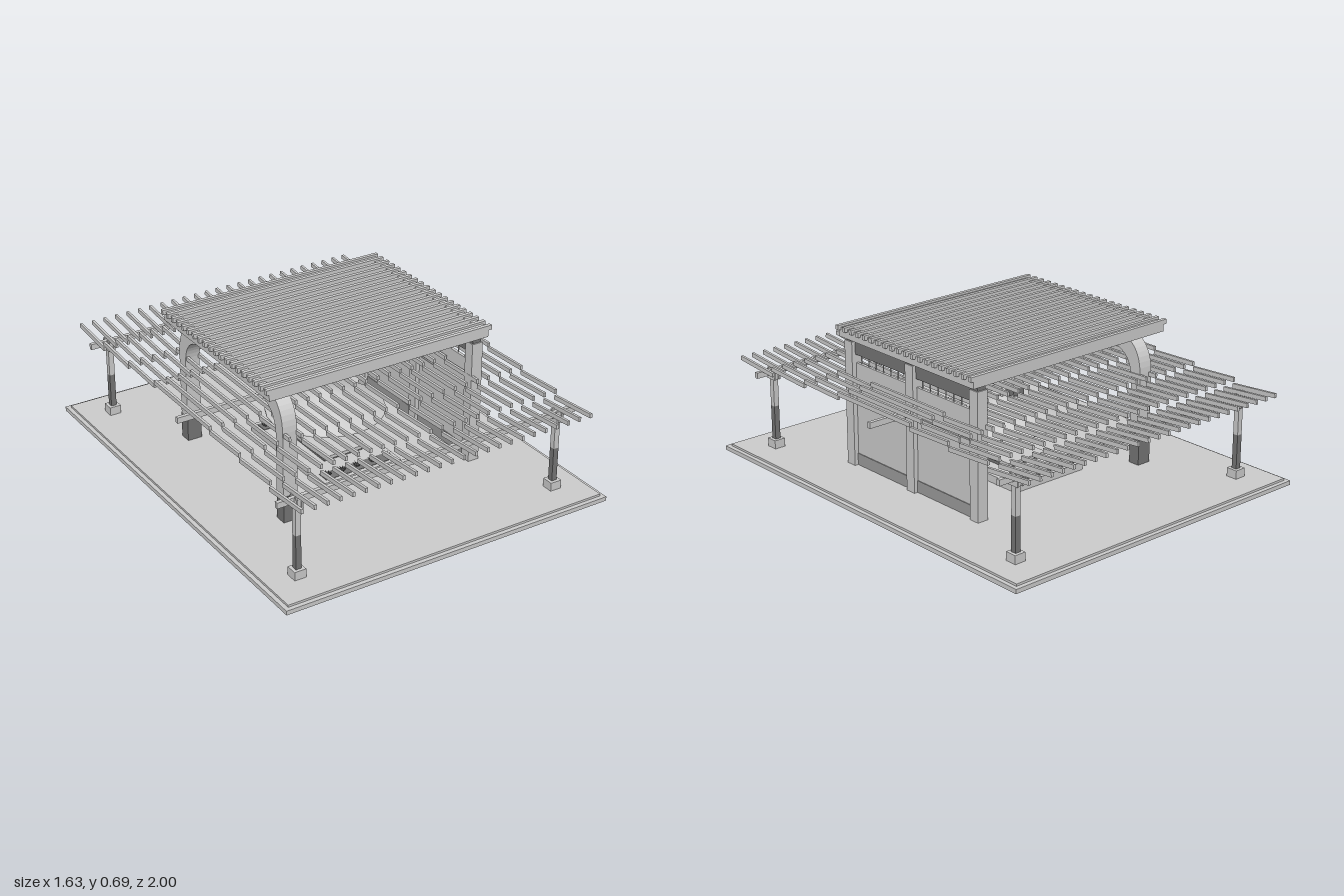
import * as THREE from 'three';

const light = new THREE.MeshStandardMaterial({ color: 0xcccccc });
light.name = 'light gray';
const middle = new THREE.MeshStandardMaterial({ color: 0x9c9c9c });
middle.name = 'middle gray';
const dark = new THREE.MeshStandardMaterial({ color: 0x757575 });
dark.name = 'dark gray';
const canopyGray = new THREE.MeshStandardMaterial({ color: 0xcccccc, side: THREE.DoubleSide });
canopyGray.name = 'canopy gray';

function add(parent, name, geometry, material, x = 0, y = 0, z = 0) {
  const mesh = new THREE.Mesh(geometry, material);
  mesh.name = name;
  mesh.position.set(x, y, z);
  parent.add(mesh);
  return mesh;
}

// Box given by its minimum and maximum on each axis
function box(parent, name, material, x0, x1, y0, y1, z0, z1) {
  return add(parent, name, new THREE.BoxGeometry(x1 - x0, y1 - y0, z1 - z0), material,
    (x0 + x1) / 2, (y0 + y1) / 2, (z0 + z1) / 2);
}

function group(parent, name) {
  const g = new THREE.Group();
  g.name = name;
  parent.add(g);
  return g;
}

function buildBase(root) {
  const base = group(root, 'base');
  // The slab's underside is dark (fourth face of the box)
  const slab = box(base, 'baseSlab', light, -0.815, 0.815, 0, 0.02, -1, 1);
  slab.material = [light, light, light, dark, light, light];
  box(base, 'floor', light, -0.795, 0.795, 0.02, 0.03, -0.98, 0.98);
}

function buildRoof(root) {
  const roof = group(root, 'pavilionRoof');
  for (const s of [-1, 1]) {
    add(roof, 'endBeam', new THREE.BoxGeometry(1.11, 0.045, 0.05), light, 0, 0.6575, s * 0.425);
    add(roof, 'sideBeam', new THREE.BoxGeometry(0.035, 0.045, 0.8), light, s * 0.5375, 0.6575, 0);
  }
  for (let i = 0; i < 20; i++) {
    add(roof, 'roofSlat', new THREE.BoxGeometry(1.14, 0.022, 0.018), light, 0, 0.679, -0.4446 + i * 0.0468);
  }
}

function buildWall(root) {
  const wall = group(root, 'panelWall');
  for (const z of [-0.42, 0, 0.42]) {
    box(wall, 'wallPillar', light, 0.475, 0.53, 0.03, 0.615, z - 0.026, z + 0.026);
    box(wall, 'pillarNeck', dark, 0.48, 0.525, 0.615, 0.636, z - 0.02, z + 0.02);
  }
  for (const z0 of [-0.394, 0.026]) {
    const z1 = z0 + 0.368;
    box(wall, 'wallPanel', light, 0.494, 0.508, 0.085, 0.515, z0, z1);
    box(wall, 'baseboard', middle, 0.49, 0.512, 0.03, 0.085, z0, z1);
    box(wall, 'header', dark, 0.492, 0.512, 0.555, 0.62, z0, z1);
    box(wall, 'middleRail', light, 0.49, 0.512, 0.376, 0.382, z0, z1);
    // Short pins joining panel and header
    for (let i = 0; i < 7; i++) {
      const z = z0 + 0.03 + i * 0.051;
      box(wall, 'ventPin', light, 0.499, 0.503, 0.515, 0.555, z - 0.002, z + 0.002);
    }
  }
}

function buildArch(root) {
  // Bent portal with rounded shoulders
  const s = new THREE.Shape();
  s.moveTo(0.445, 0.155);
  s.lineTo(0.445, 0.46);
  s.quadraticCurveTo(0.44, 0.635, 0.26, 0.637);
  s.lineTo(-0.26, 0.637);
  s.quadraticCurveTo(-0.44, 0.635, -0.445, 0.46);
  s.lineTo(-0.445, 0.155);
  s.lineTo(-0.39, 0.155);
  s.lineTo(-0.39, 0.43);
  s.quadraticCurveTo(-0.385, 0.565, -0.24, 0.57);
  s.lineTo(0.24, 0.57);
  s.quadraticCurveTo(0.385, 0.565, 0.39, 0.43);
  s.lineTo(0.39, 0.155);
  s.closePath();
  const geometry = new THREE.ExtrudeGeometry(s, { depth: 0.07, bevelEnabled: false, curveSegments: 12 });
  geometry.rotateY(-Math.PI / 2);
  const arch = group(root, 'archedSide');
  add(arch, 'arch', geometry, light, -0.42, 0, 0);
  for (const z of [-0.419, 0.419]) {
    box(arch, 'archFoot', dark, -0.49, -0.42, 0.03, 0.155, z - 0.0285, z + 0.0285);
  }
}

function buildPergola(root) {
  const pergola = group(root, 'pergola');
  for (const z of [-0.82, 0, 0.82]) {
    add(pergola, 'crossBeam', new THREE.BoxGeometry(1.5, 0.027, 0.018), light, 0, 0.397, z);
  }
  for (const x of [-0.655, 0.655]) {
    for (const z of [-0.82, 0.82]) {
      const post = group(pergola, 'pergolaPost');
      post.position.set(x, 0, z);
      add(post, 'postFoot', new THREE.BoxGeometry(0.055, 0.04, 0.055), light, 0, 0.05, 0);
      add(post, 'lowerPost', new THREE.BoxGeometry(0.026, 0.16, 0.026), dark, 0, 0.15, 0);
      add(post, 'upperPost', new THREE.BoxGeometry(0.026, 0.16, 0.026), light, 0, 0.31, 0);
      for (const s of [-1, 1]) {
        add(post, 'clampX', new THREE.BoxGeometry(0.034, 0.055, 0.008), light, 0, 0.388, s * 0.017);
        add(post, 'clampZ', new THREE.BoxGeometry(0.008, 0.045, 0.055), light, s * 0.013, 0.383, 0);
      }
    }
  }
  // Stepped slats: a flat middle, then three tilted lengths towards each end
  const slat = new THREE.BoxGeometry(0.012, 0.02, 0.243);
  const flatSlat = new THREE.BoxGeometry(0.012, 0.02, 0.49);
  const steps = [[0.365, 0.449, 0.03], [0.61, 0.438, 0.055], [0.85, 0.426, 0.08]];
  for (let i = 0; i < 25; i++) {
    const x = -0.72 + i * 0.06;
    add(pergola, 'middleSlat', flatSlat, light, x, 0.463, 0);
    for (const [z, y, tilt] of steps) {
      for (const s of [-1, 1]) {
        add(pergola, 'tiltedSlat', slat, light, x, y, s * z).rotation.x = -s * tilt;
      }
    }
  }
}

function buildCentre(root) {
  const centre = group(root, 'umbrellaTable');
  box(centre, 'plinth', light, -0.2, 0.2, 0.03, 0.065, -0.315, 0.315);
  box(centre, 'tableFoot', dark, -0.1, 0.1, 0.065, 0.083, -0.15, 0.15);
  box(centre, 'tableTop', light, -0.11, 0.11, 0.083, 0.098, -0.17, 0.17);
  add(centre, 'umbrellaPole', new THREE.CylinderGeometry(0.006, 0.006, 0.34, 10), light, 0, 0.235, 0);
  const profile = [[0.272, 0.236], [0.272, 0.246], [0.14, 0.296], [0.02, 0.339], [0, 0.343]];
  add(centre, 'umbrellaCanopy',
    new THREE.LatheGeometry(profile.map(([r, y]) => new THREE.Vector2(r, y)), 24), canopyGray);
  // Planting beds with leafy tufts at both ends of the plinth
  const leaf = new THREE.ConeGeometry(0.006, 0.03, 4);
  leaf.translate(0, 0.015, 0);
  for (const z of [-0.265, 0.265]) {
    box(centre, 'soil', dark, -0.18, 0.18, 0.065, 0.067, z - 0.03, z + 0.03);
    for (const x of [-0.155, -0.08, 0, 0.08, 0.155]) {
      const tuft = group(centre, 'plant');
      tuft.position.set(x, 0.066, z);
      for (let i = 0; i < 8; i++) {
        add(tuft, 'leaf', leaf, dark).rotation.set(0, i * Math.PI / 4, 0.85, 'YXZ');
      }
    }
  }
  // Small tilted blade above the beam
  const blade = add(centre, 'blade', new THREE.SphereGeometry(1, 12, 6), light, 0.045, 0.437, 0);
  blade.scale.set(0.05, 0.006, 0.014);
  blade.rotation.z = 0.12;
}

export function createModel() {
  const model = new THREE.Group();
  model.name = 'gardenPavilion';
  buildBase(model);
  buildRoof(model);
  buildWall(model);
  buildArch(model);
  buildPergola(model);
  buildCentre(model);
  return model;
}
